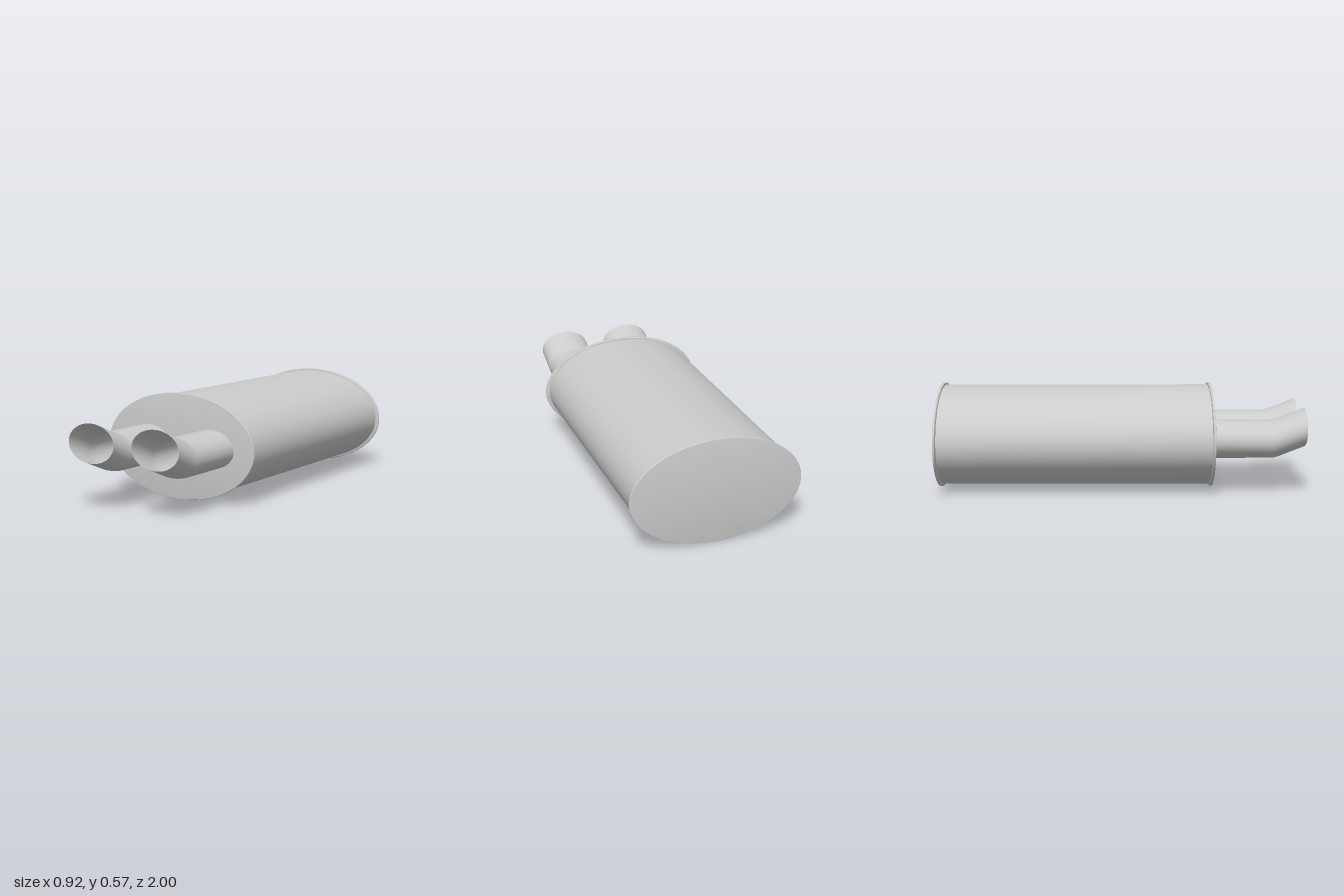
import * as THREE from 'three';
import { toCreasedNormals } from 'three/addons/utils/BufferGeometryUtils.js';

const material = new THREE.MeshStandardMaterial({ color: 0xcccccc });
const thinMaterial = new THREE.MeshStandardMaterial({ color: 0xcccccc, side: THREE.DoubleSide });

const RX = 0.46, RY = 0.285; // half sizes of the oval end plates
const FRONT = 0.5, BACK = -1;

// Oval solid turned around the z axis; radii are fractions of the end plate.
function ovalLathe(profile, direction = 1) {
  const points = profile.map(([r, d]) => new THREE.Vector2(r, d));
  const geometry = new THREE.LatheGeometry(points, 96);
  geometry.rotateX(direction * Math.PI / 2);
  geometry.scale(RX, RY, 1);
  return toCreasedNormals(geometry, 0.6);
}

// Thin oval pipe: upright rings that shift upward past the bend.
function pipeGeometry(rx, ry, stations, sides = 64) {
  const positions = [], indices = [];
  for (const [z, lift] of stations) {
    for (let i = 0; i < sides; i++) {
      const a = i / sides * Math.PI * 2;
      positions.push(rx * Math.cos(a), ry * Math.sin(a) + lift, z);
    }
  }
  for (let s = 0; s < stations.length - 1; s++) {
    for (let i = 0; i < sides; i++) {
      const j = (i + 1) % sides;
      const a = s * sides + i, b = s * sides + j;
      indices.push(a, b, b + sides, a, b + sides, a + sides);
    }
  }
  const geometry = new THREE.BufferGeometry();
  geometry.setAttribute('position', new THREE.Float32BufferAttribute(positions, 3));
  geometry.setIndex(indices);
  geometry.computeVertexNormals();
  return geometry;
}

export function createModel() {
  const model = new THREE.Group();
  model.name = 'muffler';

  function add(name, geometry, mat, x, y, z) {
    const mesh = new THREE.Mesh(geometry, mat);
    mesh.name = name;
    mesh.position.set(x, y, z);
    model.add(mesh);
  }

  // Oval canister
  add('canister', ovalLathe([[0.957, BACK + 0.005], [0.957, FRONT - 0.005]]), material, 0, RY, 0);

  // End plates with a narrow rolled rim
  const plate = [[0.957, -0.016], [0.985, -0.015], [1, -0.011], [1, -0.004], [0.995, -0.001], [0.978, 0], [0, 0]];
  add('frontPlate', ovalLathe(plate), material, 0, RY, FRONT);
  add('backPlate', ovalLathe(plate, -1), material, 0, RY, BACK);

  // Pair of open tailpipes, kinked upward near the tip
  const stations = [[FRONT - 0.005, 0], [0.815, 0], [0.835, 0.003], [0.855, 0.008], [1, 0.065]];
  const pipe = pipeGeometry(0.142, 0.103, stations);
  add('leftTailpipe', pipe, thinMaterial, 0.197, 0.287, 0);
  add('rightTailpipe', pipe, thinMaterial, -0.197, 0.287, 0);

  return model;
}
